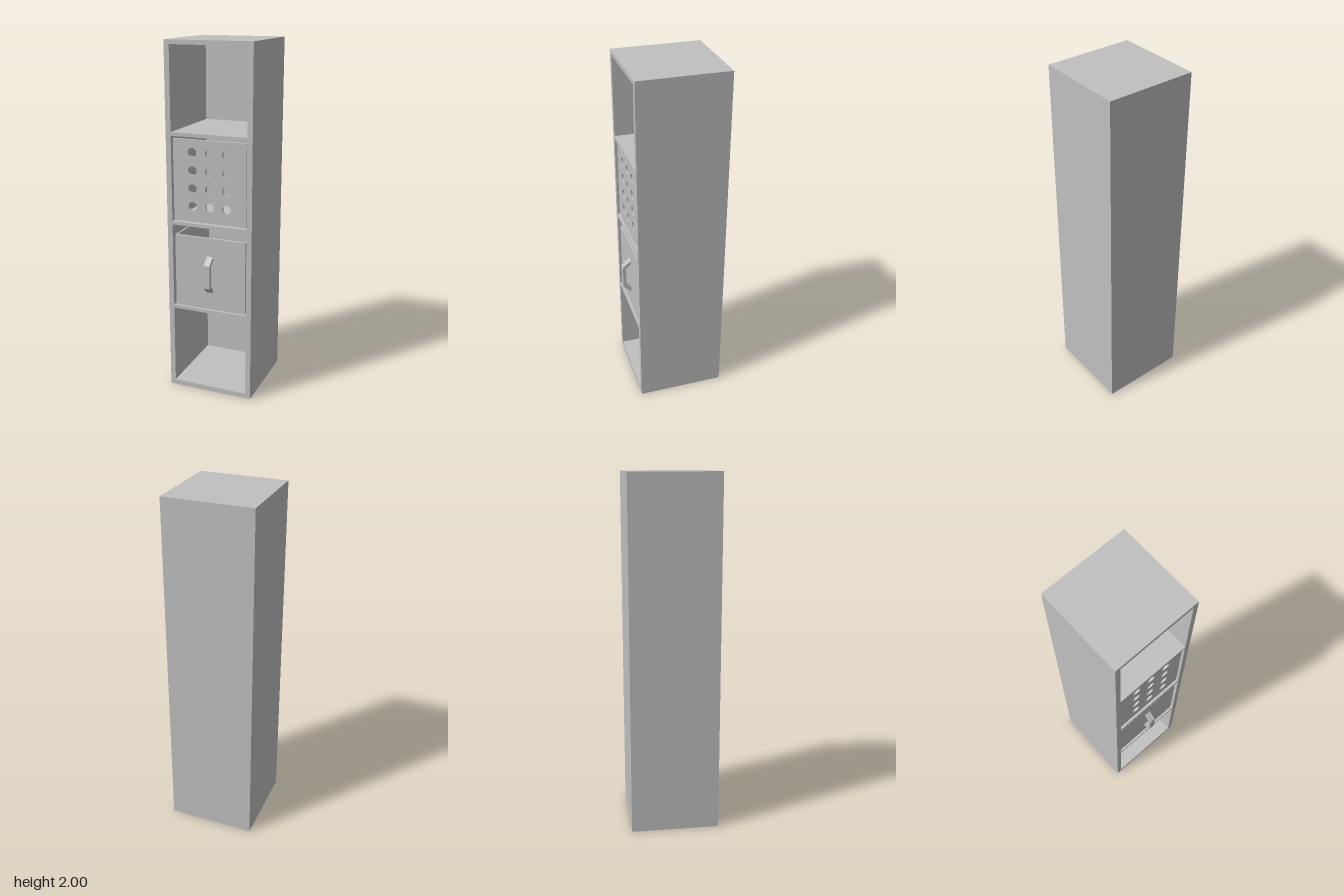
import * as THREE from 'three';

const FRONT = 0.232, BACK = -0.268, FACE = 0.22; // cabinet front, cabinet back, inset panel face

function rect(target, x0, x1, y0, y1) {
  target.moveTo(x0, y0);
  target.lineTo(x1, y0);
  target.lineTo(x1, y1);
  target.lineTo(x0, y1);
  target.closePath();
  return target;
}

function extrude(shape, depth, z) {
  const g = new THREE.ExtrudeGeometry(shape, { depth, bevelEnabled: false, curveSegments: 24 });
  return g.translate(0, 0, z);
}

export function createModel() {
  const root = new THREE.Group();
  root.name = 'cabinet';
  const grey = new THREE.MeshStandardMaterial({ color: 0xc0c0c0 });
  grey.name = 'light grey';

  const add = (name, geometry, parent = root) => {
    const m = new THREE.Mesh(geometry, grey);
    m.name = name;
    parent.add(m);
    return m;
  };
  const box = (name, x0, x1, y0, y1, z0, z1, parent) =>
    add(name, new THREE.BoxGeometry(x1 - x0, y1 - y0, z1 - z0)
      .translate((x0 + x1) / 2, (y0 + y1) / 2, (z0 + z1) / 2), parent);

  // Carcass: outer walls and shelves around four open bays
  const carcass = rect(new THREE.Shape(), -0.25, 0.25, 0, 2);
  for (const [y0, y1] of [[0.03, 0.493], [0.512, 0.996], [1.015, 1.495], [1.515, 1.976]]) {
    carcass.holes.push(rect(new THREE.Path(), -0.22, 0.22, y0, y1));
  }
  add('carcass', extrude(carcass, FRONT - BACK - 0.02, BACK + 0.02));
  box('backPanel', -0.25, 0.25, 0, 2, BACK, BACK + 0.02);

  // Perforated door: a grid of round holes
  const door = rect(new THREE.Shape(), -0.213, 0.213, 1.021, 1.481);
  for (const x of [-0.1, 0, 0.1]) {
    for (const y of [1.11, 1.21, 1.31, 1.41]) {
      const hole = new THREE.Path();
      hole.absarc(x, y, 0.025, 0, Math.PI * 2, true);
      door.holes.push(hole);
    }
  }
  add('perforatedDoor', extrude(door, 0.015, FACE - 0.015));

  // Drawer: open-topped box
  const drawer = new THREE.Group();
  drawer.name = 'drawer';
  root.add(drawer);
  const back = BACK + 0.03, inner = FACE - 0.015, low = 0.514, top = 0.935;
  box('drawerFront', -0.21, 0.21, low, top, inner, FACE, drawer);
  box('drawerLeftSide', 0.2, 0.21, low, top, back, inner, drawer);
  box('drawerRightSide', -0.21, -0.2, low, top, back, inner, drawer);
  box('drawerBack', -0.2, 0.2, low, top, back, back + 0.01, drawer);
  box('drawerBottom', -0.2, 0.2, low, low + 0.012, back + 0.01, inner, drawer);

  // Handle: bent bar drawn in side profile (z, y), then turned to face forward
  const profile = new THREE.Shape([
    [FACE, 0.615], [0.267, 0.655], [0.267, 0.79], [FACE, 0.83],
    [FACE, 0.806], [0.249, 0.781], [0.249, 0.664], [FACE, 0.639],
  ].map(([z, y]) => new THREE.Vector2(z, y)));
  add('handle', extrude(profile, 0.036, -0.018).rotateY(-Math.PI / 2), drawer);

  return root;
}
